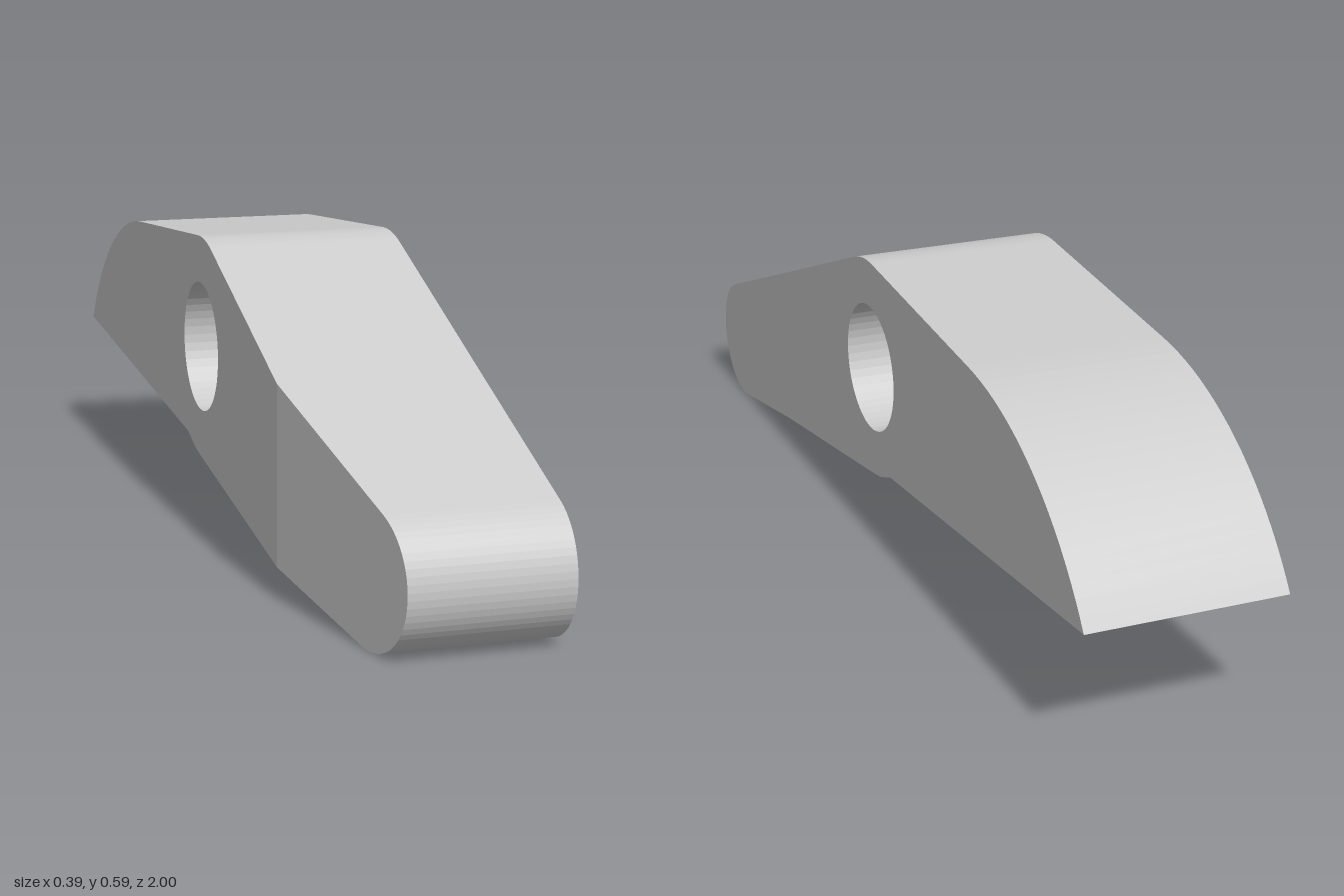
import * as THREE from 'three';

const RIGHT = 0.195;       // flat side at +x
const TAPER_Z = 0.535;     // the -x side is bevelled in front of this
const leftX = z => -RIGHT + Math.max(0, z - TAPER_Z) * 0.183;
const underY = z => 0.26 - (z + 1) * 0.0944;   // rear underside plane

// Points on an arc in the (z, y) plane, angles in degrees
function arc(cz, cy, r, a0, a1, n) {
  return Array.from({ length: n + 1 }, (_, i) => {
    const a = THREE.MathUtils.degToRad(a0 + (a1 - a0) * i / n);
    return new THREE.Vector2(cz + r * Math.cos(a), cy + r * Math.sin(a));
  });
}

// Flat-shaded mesh from a list of triangle corners
function facetMesh(name, corners, material) {
  const geometry = new THREE.BufferGeometry().setFromPoints(corners);
  geometry.computeVertexNormals();
  const mesh = new THREE.Mesh(geometry, material);
  mesh.name = name;
  return mesh;
}

function quad(a, b, c, d) {
  return [a, b, c, a, c, d];
}

// Triangulated outline, each 2D point placed in space by a rule
function sheet(outline, holes, place, flip) {
  const all = [outline, ...holes].flat();
  return THREE.ShapeUtils.triangulateShape(outline, holes).flatMap(([a, b, c]) =>
    (flip ? [a, c, b] : [a, b, c]).map(i => place(all[i])));
}

// Wall across the width, following a path in (z, y)
function wall(path) {
  const left = p => new THREE.Vector3(leftX(p.x), p.y, p.x);
  const right = p => new THREE.Vector3(RIGHT, p.y, p.x);
  return path.slice(1).flatMap((q, i) => {
    const p = path[i];
    return quad(left(p), right(p), right(q), left(q));
  });
}

export function createModel() {
  const group = new THREE.Group();
  const material = new THREE.MeshStandardMaterial({ color: 0xcccccc });
  const V = (z, y) => new THREE.Vector2(z, y);

  // Side profile: rounded nose, pivot crown, curved tail, stepped underside
  const splitTop = V(TAPER_Z, 0.402), splitBottom = V(TAPER_Z, 0.06);
  const nose = arc(0.87, 0.13, 0.13, -99, 68, 28);
  const rear = [
    splitTop,
    ...arc(0.005, 0.37, 0.225, 68, 94.3, 8),
    ...arc(-0.451, -0.097, 0.655, 94.3, 147, 20),
    V(-1, 0.26),
  ];
  const step = [V(-0.1, underY(-0.1)), V(-0.075, 0.165), V(-0.045, 0.154), V(-0.01, 0.147), splitBottom];
  const front = [splitBottom, ...nose, splitTop];
  const pivot = arc(0.005, 0.372, 0.13, 360, 0, 48);
  const pivotLoop = pivot.slice(0, -1);

  // Side faces, the left one folded at the bevel
  const onLeft = p => new THREE.Vector3(leftX(p.x), p.y, p.x);
  const onRight = p => new THREE.Vector3(RIGHT, p.y, p.x);
  const rearLoop = [...rear, ...step];
  const sides = [[onLeft, false], [onRight, true]].flatMap(([place, flip]) => [
    ...sheet(rearLoop, [pivotLoop], place, flip),
    ...sheet(front, [], place, flip),
  ]);
  group.add(facetMesh('sideFaces', sides, material));
  group.add(facetMesh('rim', [...wall(front), ...wall(rear), ...wall(step)], material));
  group.add(facetMesh('pivotBore', wall(pivot), material));

  // Teardrop pocket: ball end running out to a point, set diagonally
  const ball = V(-0.53, 0.07), tip = V(-0.785, -0.124), r = 0.08;   // (z, x)
  const length = ball.distanceTo(tip);
  const u = tip.clone().sub(ball).normalize(), v = V(-u.y, u.x);
  const tangent = r * r / length, tangentW = Math.sqrt(r * r - tangent * tangent);
  const stations = [];
  const endAngle = Math.acos(tangent / r);
  for (let i = 0; i <= 16; i++) {
    const a = Math.PI + (endAngle - Math.PI) * i / 16;
    stations.push([r * Math.cos(a), r * Math.sin(a)]);
  }
  for (let i = 1; i <= 8; i++) {
    stations.push([tangent + (length - tangent) * i / 8, tangentW * (1 - i / 8)]);
  }
  const at = (s, w) => ball.clone().addScaledVector(u, s).addScaledVector(v, w);
  const pocketPoint = ([s, w], j) => {
    const a = Math.PI * j / 20;
    const p = at(s, w * Math.cos(a));
    return new THREE.Vector3(p.y, underY(p.x) + w * Math.sin(a), p.x);
  };
  const pocket = [];
  for (let i = 0; i < stations.length - 1; i++) {
    for (let j = 0; j < 20; j++) {
      const A = stations[i], B = stations[i + 1];
      pocket.push(...quad(pocketPoint(A, j), pocketPoint(B, j), pocketPoint(B, j + 1), pocketPoint(A, j + 1)));
    }
  }
  const pocketMaterial = material.clone();
  pocketMaterial.side = THREE.DoubleSide;
  group.add(facetMesh('teardropPocket', pocket, pocketMaterial));

  // Rear underside, opened by the pocket mouth
  const mouth = [
    ...stations.map(([s, w]) => at(s, w)),
    ...stations.slice(1, -1).reverse().map(([s, w]) => at(s, -w)),
  ].reverse();
  if (!THREE.ShapeUtils.isClockWise(mouth)) mouth.reverse();
  const floor = [V(-1, -RIGHT), V(-0.1, -RIGHT), V(-0.1, RIGHT), V(-1, RIGHT)];
  group.add(facetMesh('rearUnderside',
    sheet(floor, [mouth], p => new THREE.Vector3(p.y, underY(p.x), p.x), true), material));

  return group;
}
